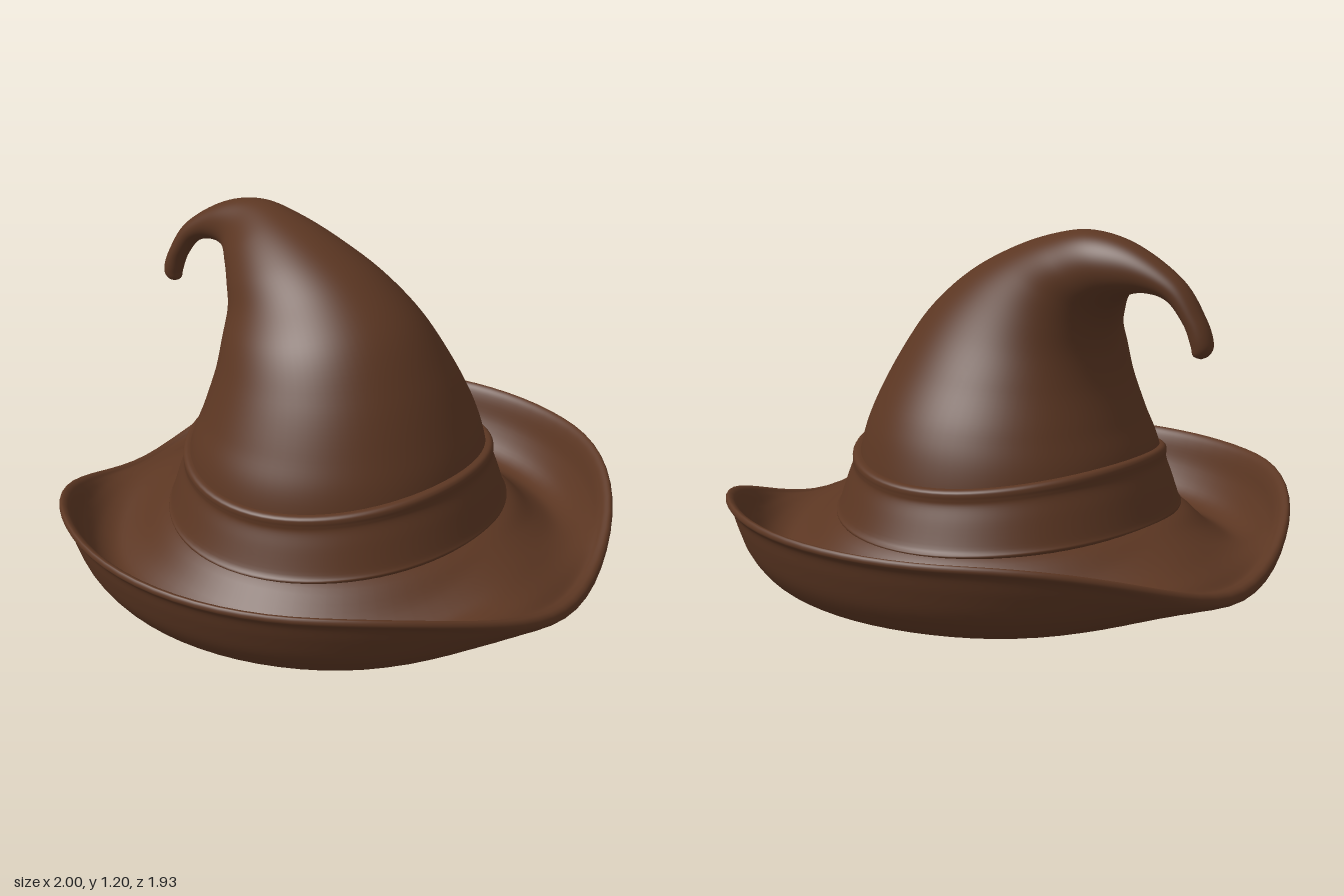
import * as THREE from 'three';

const SEG = 80;
const lerp = THREE.MathUtils.lerp;
const smooth = THREE.MathUtils.smoothstep;

// Skin a surface over rows of rings; point(row, angle) gives each vertex.
// Angle 0 faces +z and grows towards +x.
function loft(name, material, rows, point) {
  const pos = [], index = [];
  for (let i = 0; i <= rows; i++) {
    for (let j = 0; j < SEG; j++) {
      const p = point(i / rows, (j / SEG) * Math.PI * 2);
      pos.push(p.x, p.y, p.z);
    }
  }
  for (let i = 0; i < rows; i++) {
    for (let j = 0; j < SEG; j++) {
      const k = (j + 1) % SEG;
      const a = i * SEG + j, b = i * SEG + k, c = a + SEG, d = b + SEG;
      index.push(a, b, c, b, d, c);
    }
  }
  const geo = new THREE.BufferGeometry();
  geo.setAttribute('position', new THREE.Float32BufferAttribute(pos, 3));
  geo.setIndex(index);
  geo.computeVertexNormals();
  const mesh = new THREE.Mesh(geo, material);
  mesh.name = name;
  return mesh;
}

const curve = (pts) => new THREE.CatmullRomCurve3(pts, false, 'catmullrom', 0.5);

// Crown sections: front z, front y, back z, back y, centre x, half width
const SECTIONS = [
  [0.55, 0.22, -0.55, 0.22, 0, 0.57],
  [0.52, 0.42, -0.525, 0.42, 0, 0.535],
  [0.475, 0.56, -0.48, 0.55, 0.005, 0.485],
  [0.395, 0.73, -0.44, 0.68, 0, 0.41],
  [0.28, 0.90, -0.43, 0.78, 0, 0.335],
  [0.12, 1.03, -0.44, 0.86, 0.02, 0.26],
  [-0.06, 1.12, -0.47, 0.925, 0.04, 0.205],
  [-0.25, 1.18, -0.515, 0.975, 0.075, 0.155],
  [-0.43, 1.205, -0.58, 1.01, 0.115, 0.10],
  [-0.60, 1.17, -0.655, 1.02, 0.12, 0.067],
  [-0.765, 1.07, -0.725, 1.0, 0.11, 0.048],
  [-0.845, 0.955, -0.778, 0.935, 0.10, 0.042],
  [-0.872, 0.88, -0.802, 0.872, 0.095, 0.038],
  [-0.86, 0.843, -0.81, 0.84, 0.095, 0.027],
  [-0.834, 0.829, -0.834, 0.829, 0.095, 0],
];

// Brim profiles [radius, height] from the inner lining, out below, over the rim and back in
const SIDE = [
  [0.445, 0.61], [0.49, 0.42], [0.515, 0.25], [0.57, 0.12], [0.67, 0.04], [0.80, 0.01], [0.87, 0.027],
  [0.93, 0.10], [0.965, 0.19], [0.982, 0.25], [1.0, 0.275], [0.992, 0.292], [0.972, 0.28],
  [0.955, 0.245], [0.93, 0.165], [0.88, 0.085], [0.81, 0.055], [0.73, 0.095], [0.64, 0.18], [0.56, 0.22],
];
const FRONT = [
  [0.445, 0.61], [0.485, 0.42], [0.51, 0.25], [0.56, 0.14], [0.64, 0.075], [0.74, 0.045], [0.83, 0.036],
  [0.90, 0.036], [0.945, 0.042], [0.965, 0.055], [0.963, 0.078], [0.95, 0.09], [0.93, 0.091],
  [0.91, 0.09], [0.87, 0.112], [0.81, 0.14], [0.75, 0.17], [0.68, 0.2], [0.62, 0.22], [0.55, 0.235],
];

// Band profile: height fraction, side radius, front radius
const BAND = [
  [-0.1, 0.62, 0.585], [0, 0.637, 0.597], [0.1, 0.622, 0.59], [0.5, 0.59, 0.565], [0.75, 0.57, 0.547],
  [0.85, 0.568, 0.545], [0.92, 0.569, 0.546], [0.98, 0.566, 0.543], [1.02, 0.552, 0.533], [1.02, 0.525, 0.51],
];

export function createModel() {
  const hat = new THREE.Group();
  hat.name = 'pointedHat';
  const felt = new THREE.MeshStandardMaterial({ color: 0x5b3622, side: THREE.DoubleSide });
  felt.name = 'brown felt';

  // Crown: a bent cone curling to a drooping tip at the back
  const front = curve(SECTIONS.map((s) => new THREE.Vector3(s[4], s[1], s[0])));
  const back = curve(SECTIONS.map((s) => new THREE.Vector3(s[4], s[3], s[2])));
  const width = curve(SECTIONS.map((s, i) => new THREE.Vector3(s[5], i, 0)));
  hat.add(loft('crown', felt, 112, (t, a) => {
    const p = back.getPoint(t).lerp(front.getPoint(t), 0.5 + 0.5 * Math.cos(a));
    p.x += Math.max(0, width.getPoint(t).x) * Math.sin(a);
    return p;
  }));

  // Brim and lining: curled up at the sides, drooping at front and back
  const profiles = new Map();
  const brimProfile = (a) => {
    if (!profiles.has(a)) {
      const k = smooth(Math.abs(Math.sin(a)), 0, 0.87);
      profiles.set(a, curve(SIDE.map((s, i) => new THREE.Vector3(
        lerp(FRONT[i][0], s[0], k), lerp(FRONT[i][1], s[1], k), 0))));
    }
    return profiles.get(a);
  };
  hat.add(loft('brim', felt, 95, (t, a) => {
    const p = brimProfile(a).getPoint(t);
    return new THREE.Vector3(p.x * Math.sin(a), p.y, p.x * Math.cos(a));
  }));

  // Band: wraps the foot of the crown, with a softly rounded upper lip
  const side = curve(BAND.map((b) => new THREE.Vector3(b[1], b[0], b[2])));
  hat.add(loft('band', felt, 45, (t, a) => {
    const p = side.getPoint(t);
    const c = Math.cos(a) ** 2;
    const y = lerp(lerp(0.185, 0.225, c), lerp(0.378, 0.438, c), p.y);
    return new THREE.Vector3(p.x * Math.sin(a), y, p.z * Math.cos(a));
  }));

  return hat;
}
